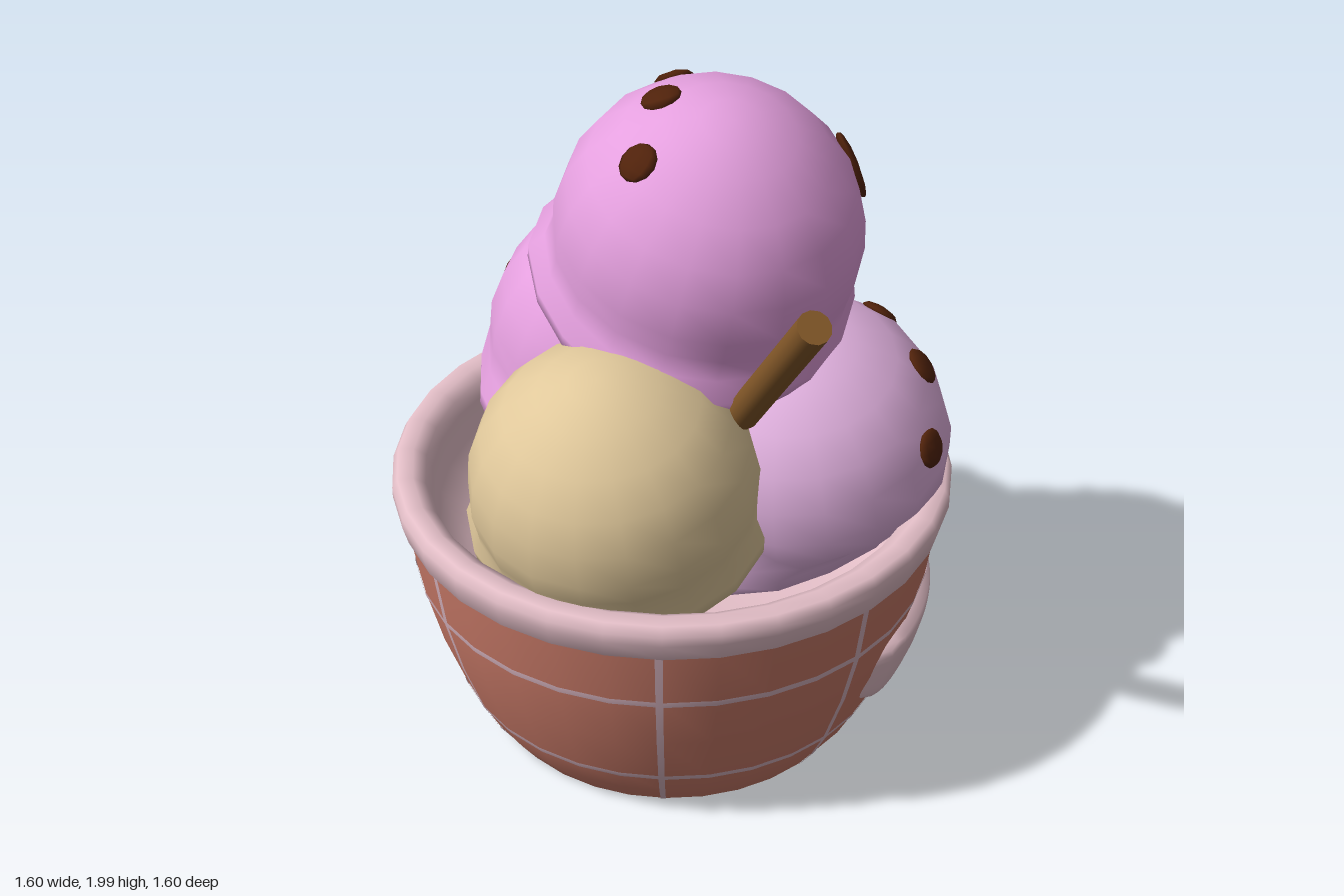
import * as THREE from 'three';
import { mergeVertices } from 'three/addons/utils/BufferGeometryUtils.js';

const mat = (name, color, side = THREE.FrontSide) => {
  const m = new THREE.MeshStandardMaterial({ color, side });
  m.name = name;
  return m;
};
const V2 = (pts) => pts.map(([x, y]) => new THREE.Vector2(x, y));

// Outer bowl wall as [radius, height]
const WALL = [[0.54, 0], [0.592, 0.08], [0.637, 0.17], [0.7, 0.35], [0.745, 0.53], [0.772, 0.72]];
function wallRadius(y) {
  for (let i = 1; i < WALL.length; i++) {
    const [r0, y0] = WALL[i - 1], [r1, y1] = WALL[i];
    if (y <= y1) return r0 + (r1 - r0) * (y - y0) / (y1 - y0);
  }
  return WALL[WALL.length - 1][0];
}

// Unit scoop: flat underside, flared skirt, round dome
const SCOOP = [[0, -0.6], [0.6, -0.6], [0.96, -0.57], [1.06, -0.5], [1.07, -0.4], [1.0, -0.27],
  [0.985, -0.12], [1, 0.06], [0.955, 0.31], [0.85, 0.54], [0.67, 0.75], [0.42, 0.908], [0.2, 0.98], [0, 1]];

function scoopGeometry(r, up, shift, seed) {
  let g = new THREE.LatheGeometry(V2(SCOOP), 18);
  g.deleteAttribute('uv');
  g.deleteAttribute('normal');
  g = mergeVertices(g, 1e-4);
  const q = new THREE.Quaternion().setFromUnitVectors(new THREE.Vector3(0, 1, 0), new THREE.Vector3(...up).normalize());
  const p = g.attributes.position, v = new THREE.Vector3();
  for (let i = 0; i < p.count; i++) {
    v.fromBufferAttribute(p, i);
    const a = Math.atan2(v.x, v.z);
    const skirt = THREE.MathUtils.smoothstep(-v.y, 0.12, 0.42);
    const k = 1 + skirt * (0.03 * Math.sin(3 * a + seed) + 0.015 * Math.sin(5 * a + 2 * seed));
    v.x *= k;
    v.z *= k;
    v.y += skirt * 0.03 * Math.sin(4 * a + seed);
    v.multiplyScalar(r).applyQuaternion(q);
    v.x += skirt * shift[0];
    v.z += skirt * shift[1];
    p.setXYZ(i, v.x, v.y, v.z);
  }
  g.computeVertexNormals();
  return g;
}

// Puffy rounded plate bent around the bowl wall on +x
function plateGeometry() {
  const g = new THREE.PlaneGeometry(0.56, 0.25, 24, 14);
  const p = g.attributes.position, round = 0.08;
  for (let i = 0; i < p.count; i++) {
    const u = p.getX(i), v = p.getY(i);
    const cu = THREE.MathUtils.clamp(u, -0.28 + round, 0.28 - round);
    const cv = THREE.MathUtils.clamp(v, -0.125 + round, 0.125 - round);
    let du = u - cu, dv = v - cv;
    const d = Math.hypot(du, dv);
    if (d > round) { du *= round / d; dv *= round / d; }
    const t = Math.min(1, d / round);
    const z = -(cu + du), y = 0.35 + cv + dv;
    const x = Math.sqrt(wallRadius(y) ** 2 - z * z) + 0.042 * Math.sqrt(1 - t ** 3) - 0.002;
    p.setXYZ(i, x, y, z);
  }
  g.computeVertexNormals();
  return g;
}

export function createModel() {
  const root = new THREE.Group();
  const terracotta = mat('terracotta', 0xc97a68);
  const blush = mat('blush', 0xe4bfc8);
  const blushThin = mat('blush lines', 0xd6b3be, THREE.DoubleSide);
  const pink = mat('pink ice cream', 0xe5a0df);
  const lilac = mat('lilac ice cream', 0xe2b2e0);
  const vanilla = mat('vanilla ice cream', 0xe0c89b);
  const chocolate = mat('chocolate', 0x50220b);
  const wafer = mat('wafer brown', 0x825728);
  const add = (parent, name, geo, m) => {
    const mesh = new THREE.Mesh(geo, m);
    mesh.name = name;
    parent.add(mesh);
    return mesh;
  };

  // Bowl
  const bowl = new THREE.Group();
  bowl.name = 'bowl';
  root.add(bowl);
  add(bowl, 'bowlWall', new THREE.LatheGeometry(V2([[0, 0], [0.525, 0], ...WALL.map(([r, y]) => [r, y || 0.004])]), 32), terracotta);
  add(bowl, 'rimAndLining', new THREE.LatheGeometry(V2([[0.765, 0.705], [0.785, 0.72], [0.8, 0.775], [0.8, 0.805],
    [0.785, 0.832], [0.74, 0.832], [0.705, 0.81], [0.69, 0.77], [0.67, 0.68], [0.6, 0.52], [0.4, 0.45], [0, 0.44]]), 32), blush);

  // Grid lines on the wall
  for (const y of [0.17, 0.53]) {
    const pts = [-0.01, 0, 0.01].map((d) => [wallRadius(y + d) + 0.0025, y + d]);
    add(bowl, 'hoopLine', new THREE.LatheGeometry(V2(pts), 32), blushThin);
  }
  for (const deg of [10.5, 56, 123, 188, 237, 280, 315.5]) {
    const a = THREE.MathUtils.degToRad(deg), w = 0.028;
    const pts = WALL.map(([r, y]) => [r + 0.0025, y || 0.004]);
    add(bowl, 'uprightLine', new THREE.LatheGeometry(V2(pts), 1, a - w / 2, w), blushThin);
  }
  add(bowl, 'sidePlate', plateGeometry(), blush);

  // Scoops, each with its chocolate chips
  const scoops = [
    { name: 'topScoop', m: pink, r: 0.425, c: [0.095, 1.565, -0.025], up: [0.22, 1, 0.27], shift: [-0.01, 0.015], seed: 1,
      chips: [[-0.05, 1.9, -0.24], [-0.03, 1.98, 0.01], [-0.04, 1.89, 0.22], [0.46, 1.72, -0.21, 0.11]] },
    { name: 'backScoop', m: pink, r: 0.425, c: [-0.18, 1.03, -0.29], up: [0.2, 1, 0.05], shift: [0.01, 0.01], seed: 2.5,
      chips: [[-0.1, 1.2, -0.68], [-0.36, 1.35, -0.51], [-0.58, 1.13, -0.42], [0.09, 0.95, -0.65]] },
    { name: 'sideScoop', m: lilac, r: 0.42, c: [0.365, 0.89, -0.075], up: [-0.05, 1, 0.25], shift: [-0.16, -0.02], seed: 4,
      chips: [[0.75, 1.01, 0.06], [0.69, 1.16, -0.12], [0.54, 1.2, -0.33], [0.58, 0.94, -0.46]] },
    { name: 'frontScoop', m: vanilla, r: 0.4, c: [-0.075, 0.983, 0.367], up: [-0.05, 1, 0.25], shift: [-0.01, -0.05], seed: 0.5, chips: [] },
  ];
  const yAxis = new THREE.Vector3(0, 1, 0), origin = new THREE.Vector3(), basis = new THREE.Matrix4();
  for (const s of scoops) {
    const group = new THREE.Group();
    group.name = s.name;
    group.position.set(...s.c);
    root.add(group);
    add(group, 'iceCream', scoopGeometry(s.r, s.up, s.shift, s.seed), s.m);
    for (const [x, y, z, tall = 0.056] of s.chips) {
      const dir = new THREE.Vector3(x, y, z).sub(group.position).normalize();
      const chip = add(group, 'chocolateChip', new THREE.SphereGeometry(1, 8, 6), chocolate);
      chip.position.copy(dir).multiplyScalar(s.r * 0.998);
      chip.quaternion.setFromRotationMatrix(basis.lookAt(dir, origin, yAxis));
      chip.scale.set(0.056, tall, 0.02);
    }
  }

  // Wafer stick
  const from = new THREE.Vector3(0.26, 1.2, 0.285), to = new THREE.Vector3(0.5, 1.71, 0.615);
  const stick = add(root, 'waferStick', new THREE.CylinderGeometry(0.046, 0.046, from.distanceTo(to), 12), wafer);
  stick.position.copy(from).lerp(to, 0.5);
  stick.quaternion.setFromUnitVectors(yAxis, to.clone().sub(from).normalize());

  return root;
}
